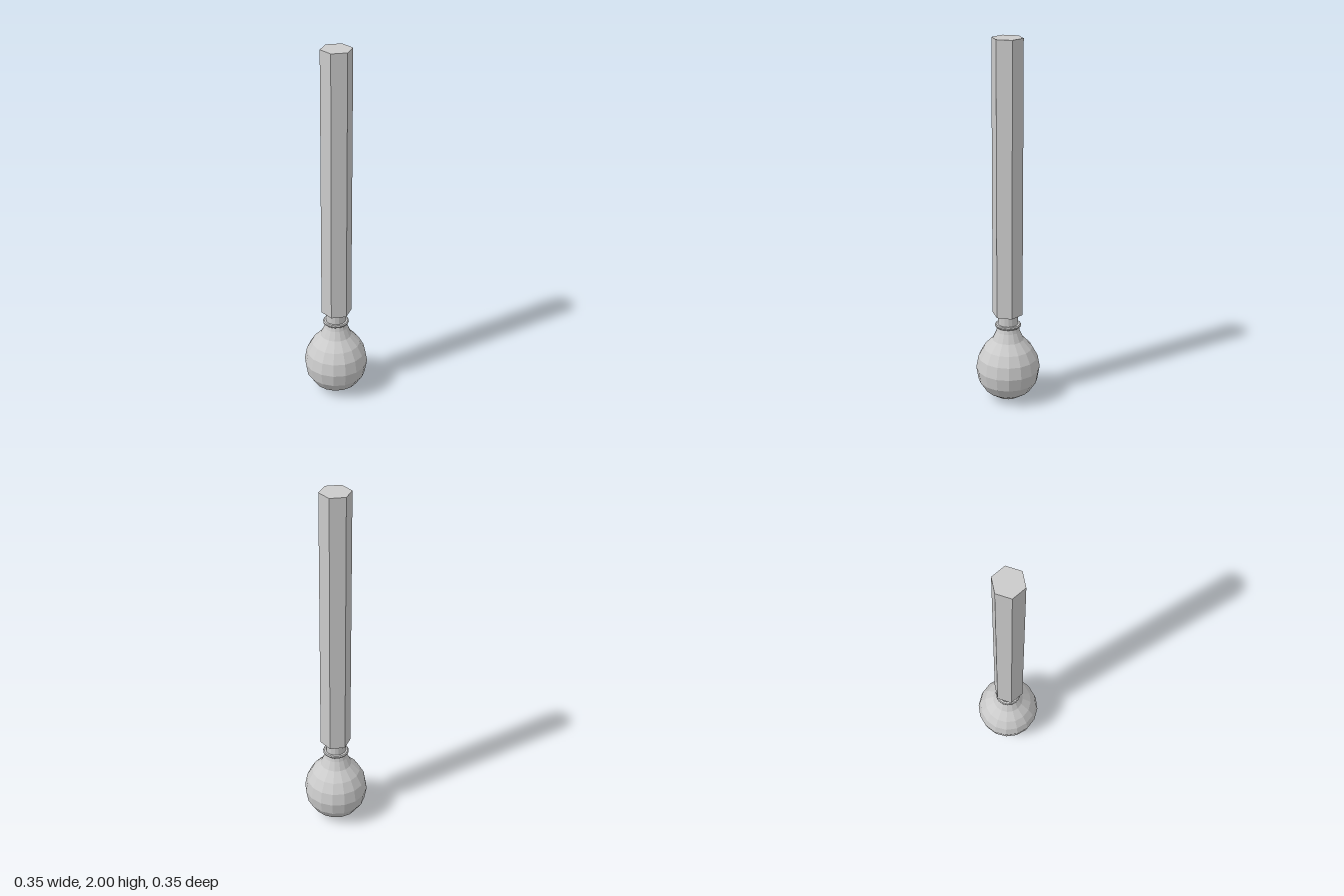
import * as THREE from 'three';

const SIDES = 16;

export function createModel() {
  const group = new THREE.Group();
  const material = new THREE.MeshStandardMaterial({ color: 0xcccccc, flatShading: true });

  function addPart(name, geometry) {
    const mesh = new THREE.Mesh(geometry, material);
    mesh.name = name;
    group.add(mesh);
    return mesh;
  }
  const lathe = (points) =>
    new THREE.LatheGeometry(points.map(([r, y]) => new THREE.Vector2(r, y)), SIDES);

  // Bulb: round lower half, drawn up into a narrow throat
  addPart('bulb', lathe([
    [0, 0], [0.068, 0.013], [0.125, 0.052], [0.163, 0.11], [0.175, 0.18],
    [0.163, 0.247], [0.133, 0.302], [0.086, 0.352], [0.064, 0.4], [0.056, 0.43],
  ]));

  // Thin rim around the throat
  addPart('collar', lathe([
    [0.05, 0.426], [0.066, 0.426], [0.071, 0.431], [0.071, 0.437], [0.066, 0.442], [0.05, 0.442],
  ]));

  // Short neck between collar and handle
  const neck = addPart('neck', new THREE.CylinderGeometry(0.055, 0.055, 0.08, SIDES));
  neck.position.y = 0.465;

  // Six-sided handle with corners on the x axis, set slightly off centre
  const handle = addPart('handle',
    new THREE.CylinderGeometry(0.083, 0.083, 1.5, 6).rotateY(Math.PI / 6));
  handle.position.set(0.004, 1.25, 0);

  return group;
}
